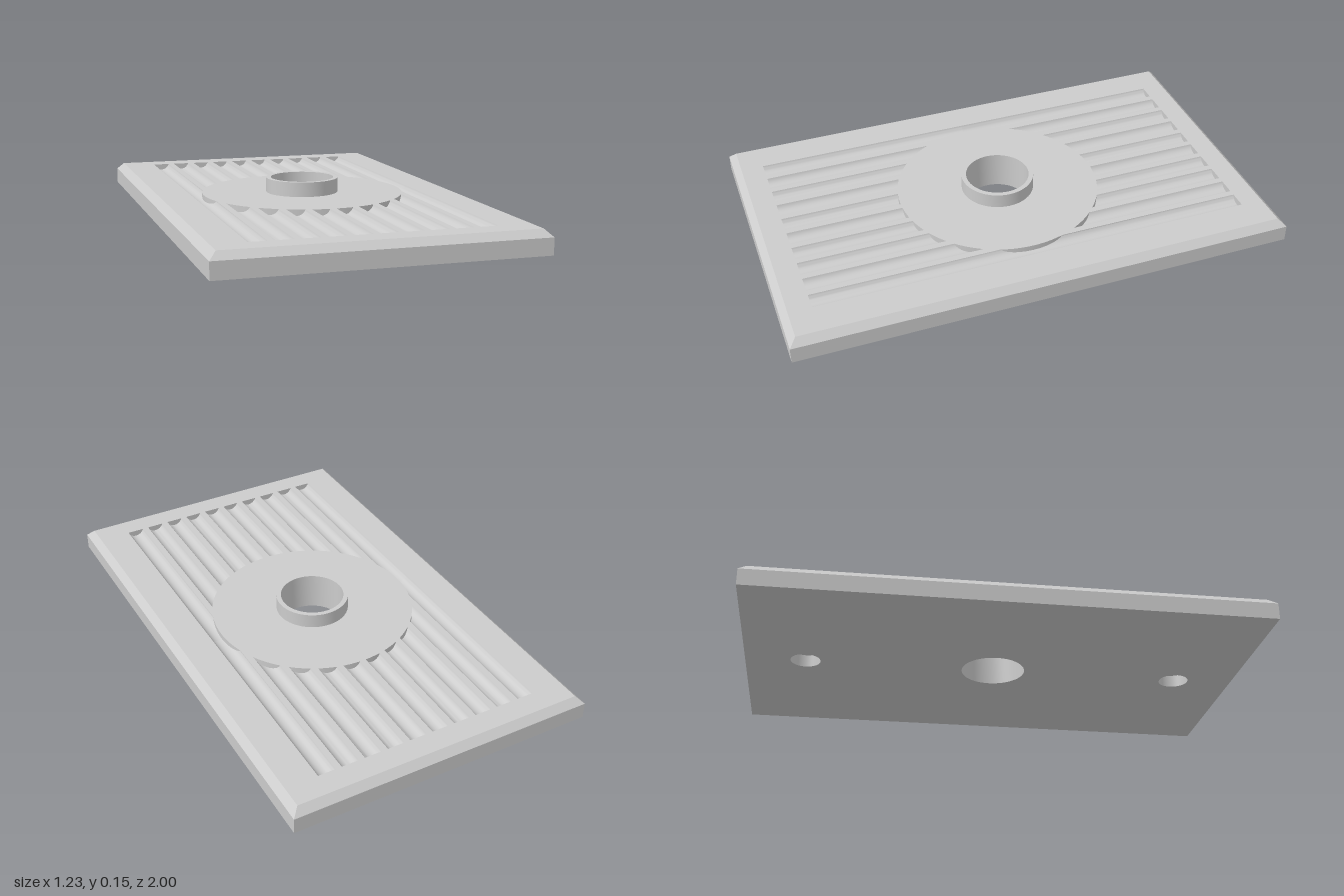
import * as THREE from 'three';
import { toCreasedNormals } from 'three/addons/utils/BufferGeometryUtils.js';

const HX = 0.615, HZ = 1, BEVEL = 0.028, EDGE_Y = 0.065, TOP = 0.093;
const GROOVES = 10, PITCH = 0.0942, HALF_W = 0.0345, DEPTH = 0.025, GROOVE_END = 0.882;
const PAD_R = 0.41, BOSS_R = 0.147, BORE_R = 0.128, BOSS_TOP = 0.152;
const HOLE_R = 0.06, HOLE_Z = 0.76, HOLE_DEPTH = 0.05;

const material = new THREE.MeshStandardMaterial({ color: 0xcccccc, side: THREE.DoubleSide });

function add(group, name, geometry) {
  const mesh = new THREE.Mesh(geometry, material);
  mesh.name = name;
  group.add(mesh);
  return mesh;
}

// Geometry from a list of counter-clockwise quads
function fromQuads(quads) {
  const pos = [];
  for (const [a, b, c, d] of quads) pos.push(...a, ...b, ...c, ...a, ...c, ...d);
  const g = new THREE.BufferGeometry();
  g.setAttribute('position', new THREE.Float32BufferAttribute(pos, 3));
  g.computeVertexNormals();
  return toCreasedNormals(g, 0.5);
}

const circleZ = (r, x) => Math.sqrt(Math.max(0, r * r - x * x));
const centres = Array.from({ length: GROOVES }, (_, i) => (i - (GROOVES - 1) / 2) * PITCH);

// Height of the round-bottomed grooves at x
function grooveY(x) {
  const off = Math.min(...centres.map((c) => Math.abs(x - c)));
  if (off >= HALF_W) return TOP;
  const r = (HALF_W * HALF_W + DEPTH * DEPTH) / (2 * DEPTH);
  return TOP - DEPTH + r - Math.sqrt(r * r - off * off);
}

// Front half of the grooved top, in strips across x
function topHalf() {
  let xs = [-HX + BEVEL, HX - BEVEL];
  for (const c of centres) {
    for (let k = 0; k <= 14; k++) xs.push(c - HALF_W * Math.cos((k / 14) * Math.PI));
  }
  const a = Math.acos((4.5 * PITCH - HALF_W) / PAD_R);
  for (let k = 0; k < 8; k++) {
    const x = PAD_R * Math.cos((a * k) / 8);
    xs.push(x, -x);
  }
  xs = xs.sort((p, q) => p - q).filter((x, i, all) => i === 0 || x - all[i - 1] > 1e-6);

  const quads = [];
  const flat = (x0, x1, y0, y1, n0, n1, f) =>
    quads.push([[x0, y0, n0], [x0, y0, f], [x1, y1, f], [x1, y1, n1]]);
  for (let i = 0; i < xs.length - 1; i++) {
    const x0 = xs[i], x1 = xs[i + 1];
    const b0 = circleZ(0.138, x0), b1 = circleZ(0.138, x1);
    if (grooveY((x0 + x1) / 2) >= TOP) {
      flat(x0, x1, TOP, TOP, b0, b1, HZ - BEVEL);
      continue;
    }
    const p0 = circleZ(PAD_R, x0), p1 = circleZ(PAD_R, x1);
    const y0 = grooveY(x0), y1 = grooveY(x1);
    // groove floor, rim beyond its end, and end wall
    flat(x0, x1, y0, y1, p0, p1, GROOVE_END);
    flat(x0, x1, TOP, TOP, GROOVE_END, GROOVE_END, HZ - BEVEL);
    quads.push([[x0, TOP, GROOVE_END], [x1, TOP, GROOVE_END], [x1, y1, GROOVE_END], [x0, y0, GROOVE_END]]);
    // round pad and its wall
    if (p0 > 0 || p1 > 0) {
      quads.push([[x0, TOP, b0], [x0, TOP, p0], [x1, TOP, p1], [x1, TOP, b1]]);
      quads.push([[x0, y0, p0], [x1, y1, p1], [x1, TOP, p1], [x0, TOP, p0]]);
    }
  }
  return fromQuads(quads);
}

// Upright sides and chamfer around the plate
function sides() {
  const loop = (inset, y) =>
    [[-1, 1], [1, 1], [1, -1], [-1, -1]].map(([sx, sz]) => [sx * (HX - inset), y, sz * (HZ - inset)]);
  const rings = [loop(0, 0), loop(0, EDGE_Y), loop(BEVEL, TOP)];
  const quads = [];
  for (let r = 0; r < 2; r++) {
    for (let i = 0; i < 4; i++) {
      const j = (i + 1) % 4;
      quads.push([rings[r][i], rings[r][j], rings[r + 1][j], rings[r + 1][i]]);
    }
  }
  return fromQuads(quads);
}

// Underside with the bore and two blind holes
function underside() {
  const shape = new THREE.Shape([[-HX, -HZ], [HX, -HZ], [HX, HZ], [-HX, HZ]].map((p) => new THREE.Vector2(...p)));
  for (const [z, r] of [[0, BORE_R], [HOLE_Z, HOLE_R], [-HOLE_Z, HOLE_R]]) {
    shape.holes.push(new THREE.Path().absarc(0, z, r, 0, Math.PI * 2, true));
  }
  return new THREE.ShapeGeometry(shape, 32).rotateX(Math.PI / 2);
}

export function createModel() {
  const group = new THREE.Group();
  group.name = 'groovedPlate';

  const half = topHalf();
  add(group, 'topFront', half);
  add(group, 'topBack', half).rotation.y = Math.PI;
  add(group, 'plateSides', sides());
  add(group, 'underside', underside());

  // Raised collar and the bore through the plate
  const profile = [[BOSS_R, TOP], [BOSS_R, BOSS_TOP], [BORE_R, BOSS_TOP], [BORE_R, 0]];
  const collar = new THREE.LatheGeometry(profile.map((p) => new THREE.Vector2(...p)), 64);
  add(group, 'collar', toCreasedNormals(collar, 0.5));

  // Blind mounting holes: wall up to a flat end
  for (const s of [-1, 1]) {
    const hole = [[HOLE_R, HOLE_DEPTH], [HOLE_R, 0]].map((p) => new THREE.Vector2(...p));
    add(group, 'mountingHoleWall', new THREE.LatheGeometry(hole, 48)).position.z = s * HOLE_Z;
    const end = new THREE.CircleGeometry(HOLE_R, 48).rotateX(Math.PI / 2);
    add(group, 'mountingHoleEnd', end).position.set(0, HOLE_DEPTH, s * HOLE_Z);
  }
  return group;
}
